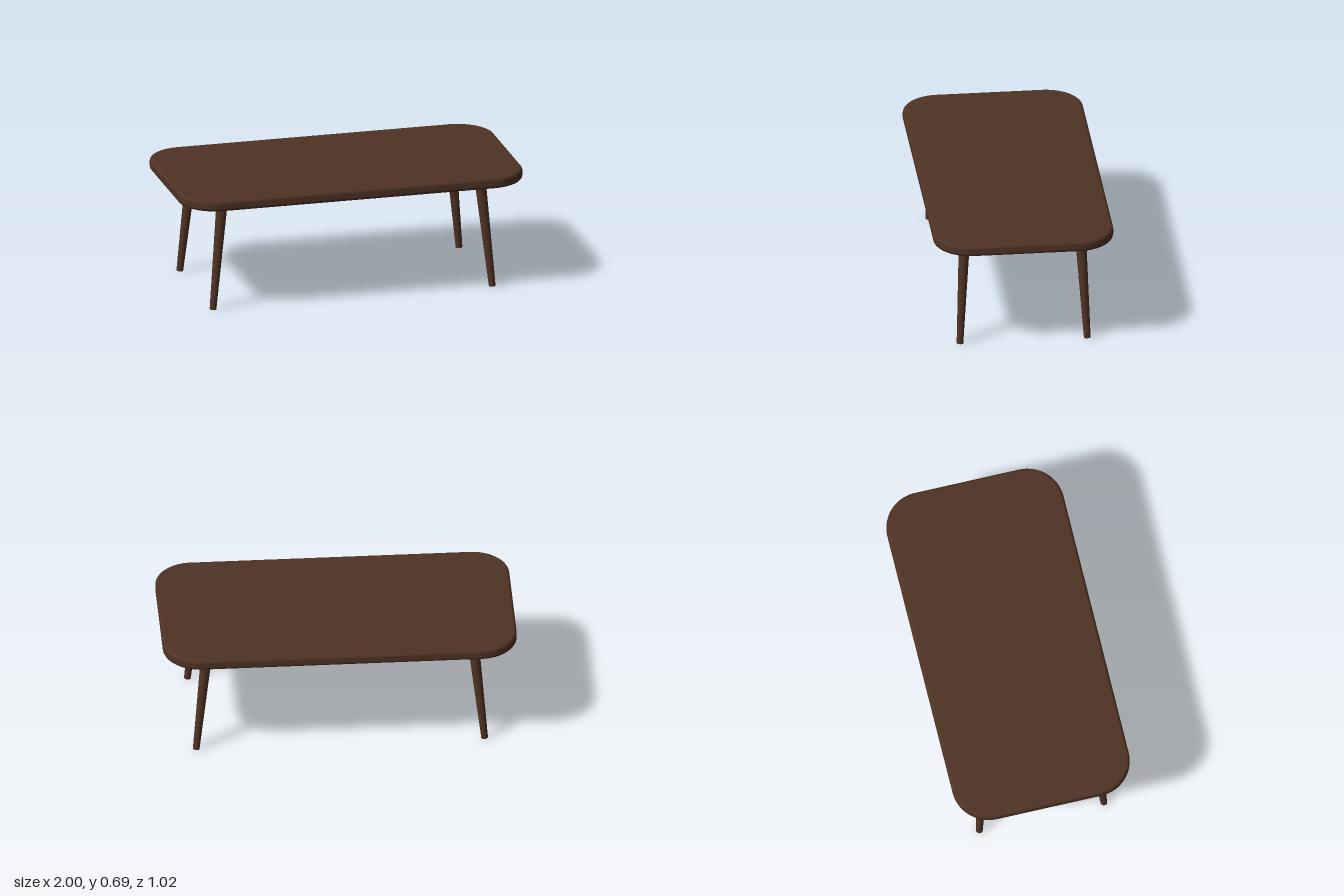
import * as THREE from 'three';

const HALF_W = 1, HALF_D = 0.51, BOTTOM = 0.625, TOP = 0.69;
const CORNER = 0.21, EDGE = 0.02;

// Rounded slab with softened upper and lower edges
function slabGeometry() {
  const w = HALF_W - EDGE, d = HALF_D - EDGE, r = CORNER - EDGE;
  const shape = new THREE.Shape();
  shape.absarc(w - r, d - r, r, 0, Math.PI / 2);
  shape.absarc(r - w, d - r, r, Math.PI / 2, Math.PI);
  shape.absarc(r - w, r - d, r, Math.PI, Math.PI * 1.5);
  shape.absarc(w - r, r - d, r, Math.PI * 1.5, Math.PI * 2);
  const core = TOP - BOTTOM - 2 * EDGE;
  const geo = new THREE.ExtrudeGeometry(shape, {
    depth: core, bevelEnabled: true, bevelSize: EDGE, bevelThickness: EDGE,
    bevelSegments: 5, curveSegments: 16,
  });
  geo.translate(0, 0, -core / 2).rotateX(-Math.PI / 2);

  // Smooth normals: straight out on the rim, rolling over the edge to flat faces
  const pos = geo.attributes.position, normal = geo.attributes.normal;
  const clamp = THREE.MathUtils.clamp;
  for (let i = 0; i < pos.count; i++) {
    const x = pos.getX(i), y = pos.getY(i), z = pos.getZ(i);
    const dx = x - clamp(x, r - w, w - r);
    const dz = z - clamp(z, r - d, d - r);
    const dist = Math.hypot(dx, dz) || 1;
    const out = Math.max(Math.hypot(dx, dz) - r, 0);
    const n = new THREE.Vector3(dx / dist * out, y - clamp(y, -core / 2, core / 2), dz / dist * out).normalize();
    normal.setXYZ(i, n.x, n.y, n.z);
  }
  return geo;
}

export function createModel() {
  const group = new THREE.Group();
  group.name = 'coffeeTable';
  const wood = new THREE.MeshStandardMaterial({ color: 0x4f3324 });

  const top = new THREE.Mesh(slabGeometry(), wood);
  top.name = 'tableTop';
  top.position.y = (TOP + BOTTOM) / 2;
  group.add(top);

  // Four tapered legs splayed outward
  for (const sx of [-1, 1]) for (const sz of [-1, 1]) {
    const foot = new THREE.Vector3(sx * 0.815, 0.002, sz * 0.361);
    const head = new THREE.Vector3(sx * 0.752, BOTTOM + 0.01, sz * 0.328);
    const axis = head.clone().sub(foot);
    const leg = new THREE.Mesh(new THREE.CylinderGeometry(0.032, 0.019, axis.length(), 24), wood);
    leg.name = (sz > 0 ? 'front' : 'back') + (sx > 0 ? 'Left' : 'Right') + 'Leg';
    leg.position.copy(foot).add(head).multiplyScalar(0.5);
    leg.quaternion.setFromUnitVectors(new THREE.Vector3(0, 1, 0), axis.normalize());
    group.add(leg);
  }
  return group;
}
